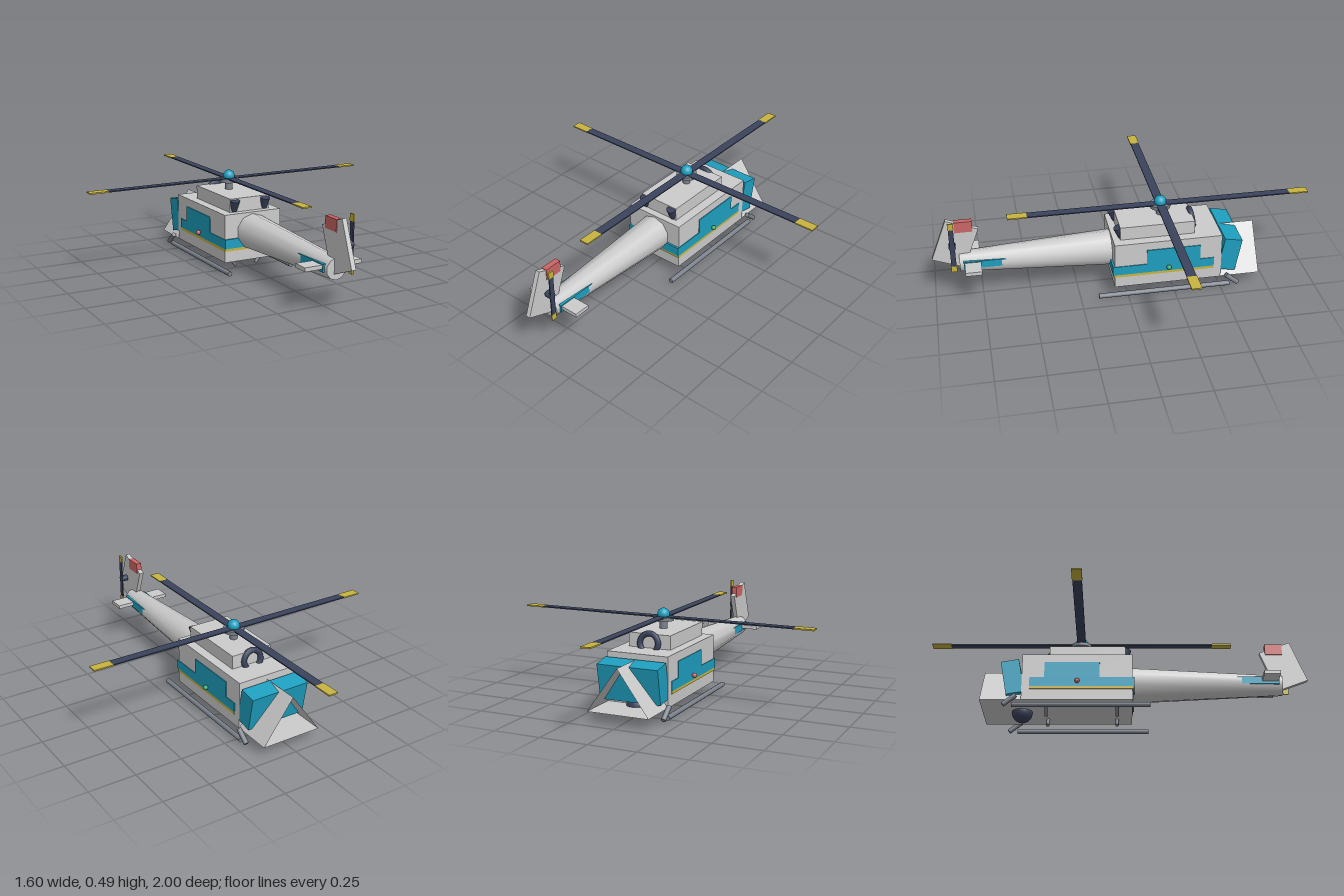
import * as THREE from 'three';

const mat = (color, side = THREE.FrontSide) => new THREE.MeshStandardMaterial({ color, side });
const GREY = mat(0xcccccc), OPEN_GREY = mat(0xcccccc, THREE.DoubleSide);
const TEAL = mat(0x1e9fbf), NAVY = mat(0x3a435c), YELLOW = mat(0xc8b440);
const RED = mat(0xcc6666), GREEN = mat(0x3fa870), METAL = mat(0x7c828c);

export function createModel() {
  const model = new THREE.Group();
  model.name = 'helicopter';

  const add = (name, geometry, material, x, y, z, parent = model) => {
    const mesh = new THREE.Mesh(geometry, material);
    mesh.name = name;
    mesh.position.set(x, y, z);
    parent.add(mesh);
    return mesh;
  };
  const box = (name, w, h, d, material, x, y, z, parent) =>
    add(name, new THREE.BoxGeometry(w, h, d), material, x, y, z, parent);
  // Round bar between two points
  const bar = (name, a, b, r, material) => {
    const from = new THREE.Vector3(...a), to = new THREE.Vector3(...b);
    const dir = to.clone().sub(from);
    const mid = from.clone().add(to).multiplyScalar(0.5);
    const mesh = add(name, new THREE.CylinderGeometry(r, r, dir.length(), 12), material, mid.x, mid.y, mid.z);
    mesh.quaternion.setFromUnitVectors(new THREE.Vector3(0, 1, 0), dir.normalize());
  };

  // Cabin with its painted bands
  box('cabin', 0.33, 0.255, 0.57, GREY, 0, 0.187, -0.215);
  box('tealBand', 0.338, 0.05, 0.54, TEAL, 0, 0.16, -0.19);
  box('yellowBand', 0.336, 0.016, 0.535, YELLOW, 0, 0.128, -0.192);
  box('sideWindows', 0.338, 0.085, 0.285, TEAL, 0, 0.227, -0.242);

  // Tilted windscreen
  box('windscreen', 0.328, 0.185, 0.095, TEAL, 0, 0.19, -0.548).rotation.x = -0.18;

  // Open three-sided nose fairing: floor and two slopes
  const ring = [[-0.164, 0.06], [0.164, 0.06], [0, 0.288]];
  const corners = [];
  ring.forEach(([x, y], i) => {
    const [u, v] = ring[(i + 1) % 3];
    corners.push(x, y, -0.5, x, y, -0.712, u, v, -0.712);
    corners.push(x, y, -0.5, u, v, -0.712, u, v, -0.5);
  });
  const nose = new THREE.BufferGeometry();
  nose.setAttribute('position', new THREE.Float32BufferAttribute(corners, 3));
  nose.computeVertexNormals();
  add('nose', nose, OPEN_GREY, 0, 0, 0);

  // Engine housing, intake ring and exhausts
  box('engineHousing', 0.23, 0.072, 0.395, GREY, 0, 0.351, -0.165);
  const intake = add('intakeRing', new THREE.TorusGeometry(0.05, 0.015, 10, 24), NAVY, 0, 0.34, -0.368);
  intake.rotation.x = 0.12;
  for (const s of [-1, 1]) {
    const exhaust = add('exhaust', new THREE.CylinderGeometry(0.027, 0.018, 0.06, 12), NAVY, s * 0.09, 0.35, 0.03);
    exhaust.rotation.x = 0.3;
  }

  // Tail boom
  const boom = add('tailBoom', new THREE.CylinderGeometry(0.054, 0.096, 0.81, 10), GREY, 0, 0.211, 0.455);
  boom.rotation.x = Math.PI / 2;
  box('tailFlash', 0.124, 0.04, 0.22, TEAL, 0, 0.217, 0.73);

  // Tail surfaces
  box('stabilizer', 0.31, 0.02, 0.085, GREY, 0, 0.222, 0.793);
  box('tailFin', 0.024, 0.238, 0.175, GREY, 0, 0.32, 0.875).rotation.x = -0.365;
  box('finPanel', 0.03, 0.06, 0.092, RED, 0, 0.42, 0.827);

  // Tail rotor
  const tailRotor = new THREE.Group();
  tailRotor.name = 'tailRotor';
  tailRotor.position.set(0.06, 0.33, 0.89);
  model.add(tailRotor);
  box('tailBlade', 0.006, 0.22, 0.026, NAVY, 0, 0, 0, tailRotor);
  for (const s of [-1, 1]) box('tailBladeTip', 0.008, 0.035, 0.03, YELLOW, 0, s * 0.125, 0, tailRotor);
  const tailHub = add('tailRotorHub', new THREE.CylinderGeometry(0.018, 0.018, 0.036, 12), NAVY, -0.015, 0, 0, tailRotor);
  tailHub.rotation.z = Math.PI / 2;

  // Main rotor
  const rotor = new THREE.Group();
  rotor.name = 'mainRotor';
  rotor.position.set(0, 0.447, -0.2);
  model.add(rotor);
  add('mast', new THREE.CylinderGeometry(0.02, 0.02, 0.08, 16), METAL, 0, -0.035, 0, rotor);
  add('hubPlate', new THREE.CylinderGeometry(0.054, 0.054, 0.02, 20), METAL, 0, -0.009, 0, rotor);
  add('hubCap', new THREE.SphereGeometry(0.032, 20, 14), TEAL, 0, 0.013, 0, rotor);
  for (let i = 0; i < 4; i++) {
    const arm = new THREE.Group();
    arm.name = 'rotorBlade';
    arm.rotation.y = i * Math.PI / 2;
    rotor.add(arm);
    box('blade', 0.7, 0.006, 0.046, NAVY, 0.35, 0, 0, arm);
    box('bladeTip', 0.102, 0.007, 0.05, YELLOW, 0.751, 0, 0, arm);
  }

  // Skids, struts and navigation lights
  for (const s of [-1, 1]) {
    bar('skid', [s * 0.183, 0.025, 0.158], [s * 0.183, 0.025, -0.545], 0.013, METAL);
    bar('skidTip', [s * 0.183, 0.077, -0.525], [s * 0.183, 0.025, -0.59], 0.013, METAL);
    for (const z of [-0.01, -0.375]) bar('strut', [s * 0.1, 0.065, z], [s * 0.06, 0.012, z], 0.009, METAL);
    add('navigationLight', new THREE.SphereGeometry(0.013, 14, 10), s > 0 ? GREEN : RED, s * 0.18, 0.16, -0.215);
  }

  // Searchlight under the chin
  add('searchlight', new THREE.SphereGeometry(0.054, 20, 14), NAVY, 0, 0.056, -0.505);

  return model;
}
